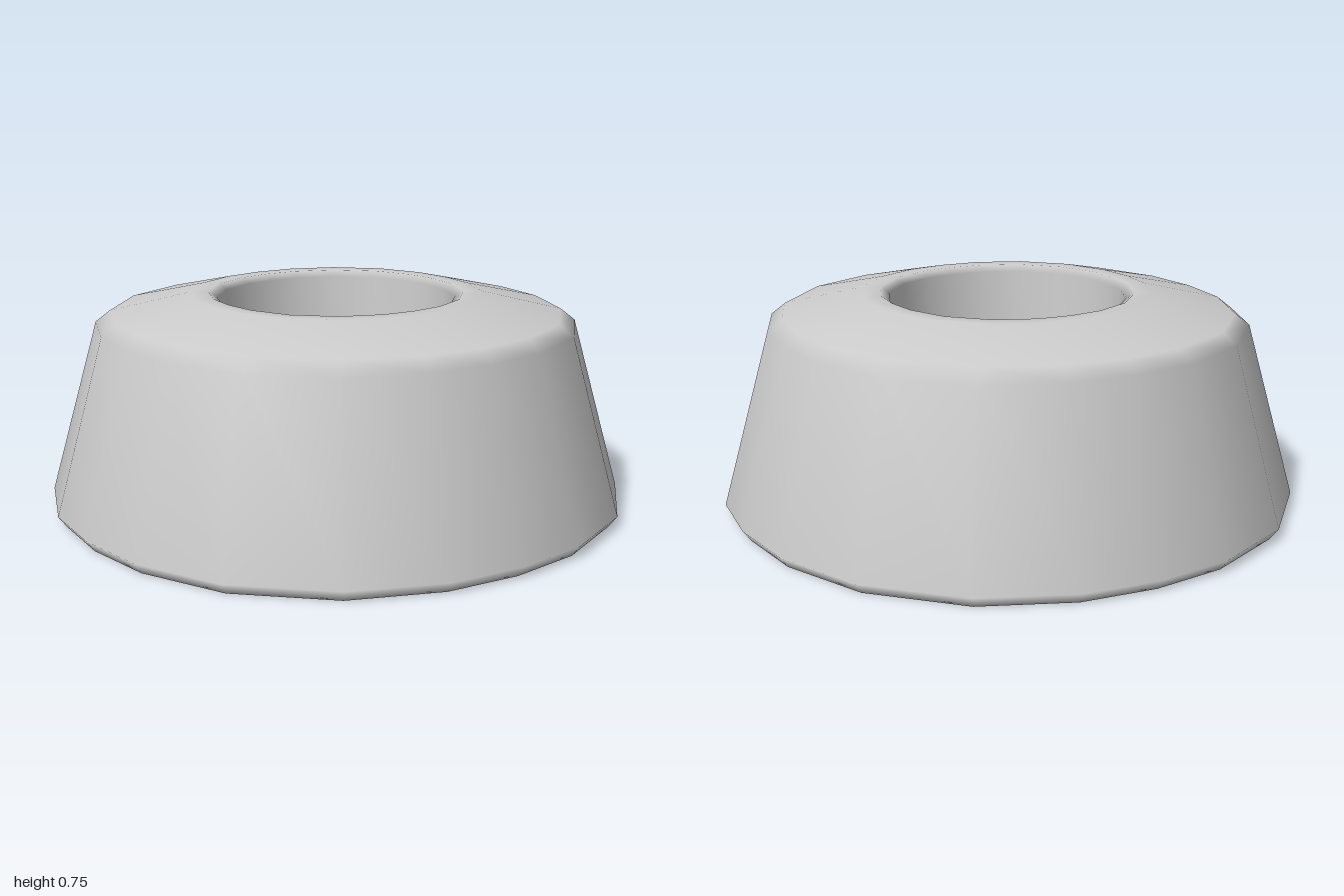
import * as THREE from 'three';
import { mergeVertices } from 'three/addons/utils/BufferGeometryUtils.js';

const SIDES = 20;

// Profile [radius, height]: base, tapered wall, rounded shoulder, rim, hollow, floor
const PROFILE = [
  [0, 0], [0.97, 0], [1, 0.04],
  [0.83, 0.65], [0.78, 0.69],
  [0.5, 0.755], [0.44, 0.755], [0.41, 0.735],
  [0.405, 0.18], [0.36, 0.12], [0.25, 0.1], [0, 0.1],
];

// Turn the profile, then ease the ring towards a slightly squared circle
function turnedBody() {
  const geo = new THREE.LatheGeometry(
    PROFILE.map(([r, y]) => new THREE.Vector2(r, y)), SIDES, Math.PI / SIDES);
  const pos = geo.attributes.position;
  for (let i = 0; i < pos.count; i++) {
    const x = pos.getX(i), z = pos.getZ(i);
    const a = Math.atan2(z, x);
    const r = Math.hypot(x, z) * (1.008 + 0.01 * Math.cos(4 * a));
    const b = a + 0.045 * Math.sin(4 * a);
    pos.setXYZ(i, r * Math.cos(b), pos.getY(i), r * Math.sin(b));
  }
  // Weld the seam and poles so shading is smooth all round
  geo.deleteAttribute('uv');
  geo.deleteAttribute('normal');
  const welded = mergeVertices(geo, 1e-4);
  welded.computeVertexNormals();
  return welded;
}

export function createModel() {
  const model = new THREE.Group();
  model.name = 'bowl';
  const body = new THREE.Mesh(
    turnedBody(), new THREE.MeshStandardMaterial({ color: 0xcccccc }));
  body.name = 'bowlBody';
  model.add(body);
  return model;
}
